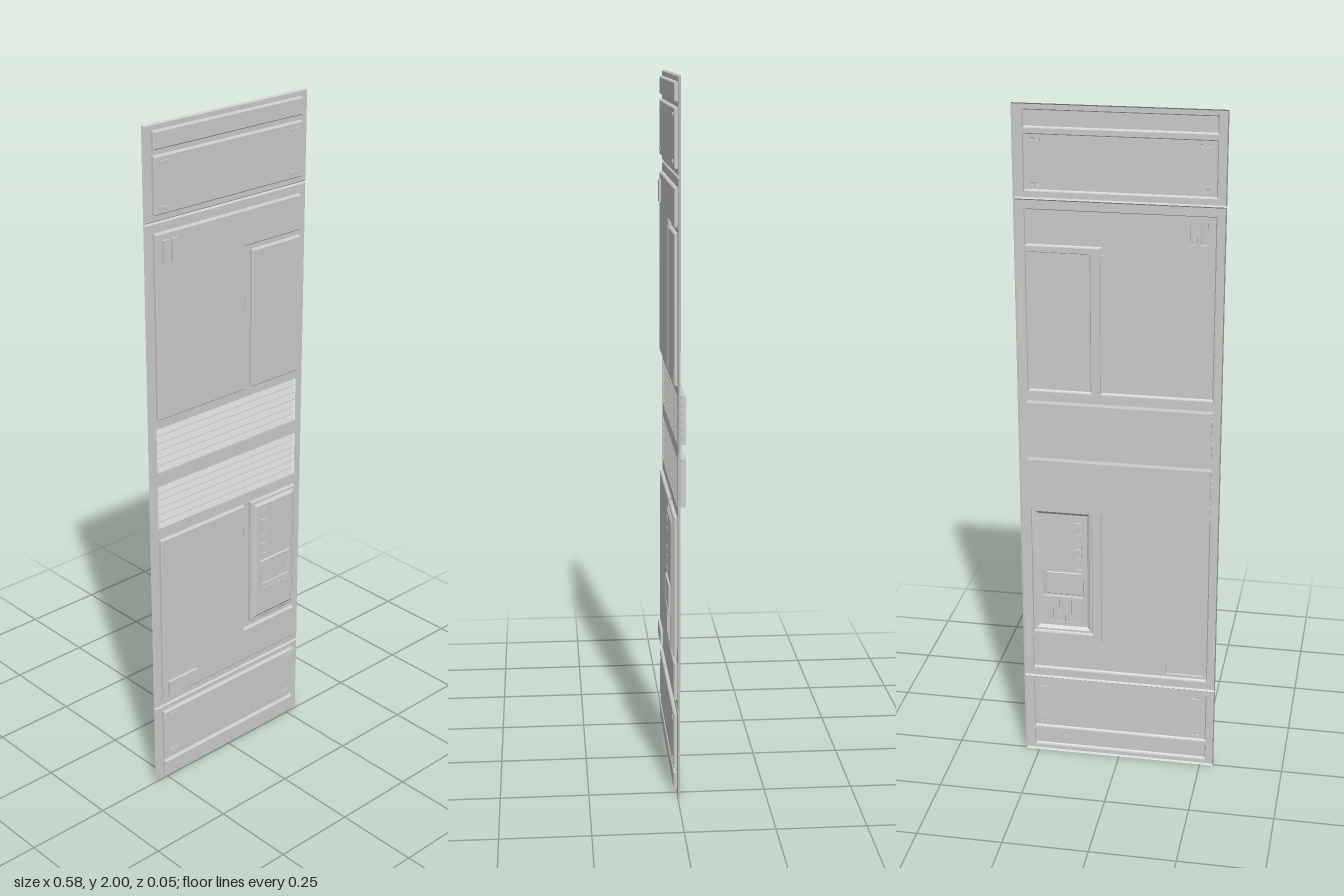
import * as THREE from 'three';

const material = new THREE.MeshStandardMaterial({ color: 0xcccccc, side: THREE.DoubleSide, flatShading: true });

const rect = (x0, y0, x1, y1) => [[x0, y0], [x1, y0], [x1, y1], [x0, y1]];

// Mitred inset of a counter-clockwise outline
function inset(pts, d) {
  return pts.map((p, i) => {
    const a = pts[(i + pts.length - 1) % pts.length], b = pts[(i + 1) % pts.length];
    const u = new THREE.Vector2(p[0] - a[0], p[1] - a[1]).normalize();
    const v = new THREE.Vector2(b[0] - p[0], b[1] - p[1]).normalize();
    const k = d / (1 + u.dot(v));
    return [p[0] - (u.y + v.y) * k, p[1] + (u.x + v.x) * k];
  });
}

// Pressed sheet: walls follow [inset, z] levels, then a cap with holes for its children
function pressing(name, pts, levels, children = []) {
  const pos = [];
  const rings = levels.map(([d, z]) => inset(pts, d).map(([x, y]) => [x, y, z]));
  for (let l = 0; l + 1 < rings.length; l++) {
    for (let i = 0; i < pts.length; i++) {
      const j = (i + 1) % pts.length;
      const [a, b, c, d] = [rings[l][i], rings[l][j], rings[l + 1][j], rings[l + 1][i]];
      pos.push(...a, ...b, ...c, ...a, ...c, ...d);
    }
  }
  const top = rings[rings.length - 1];
  const shape = new THREE.Shape(top.map(([x, y]) => new THREE.Vector2(x, y)));
  for (const child of children) {
    shape.holes.push(new THREE.Path(child.userData.outline.map(([x, y]) => new THREE.Vector2(x, y))));
  }
  const cap = new THREE.ShapeGeometry(shape).toNonIndexed().getAttribute('position');
  for (let i = 0; i < cap.count; i++) pos.push(cap.getX(i), cap.getY(i), top[0][2]);

  const geometry = new THREE.BufferGeometry();
  geometry.setAttribute('position', new THREE.Float32BufferAttribute(pos, 3));
  geometry.computeVertexNormals();
  const group = new THREE.Group();
  group.name = name;
  group.userData.outline = pts;
  const mesh = new THREE.Mesh(geometry, material);
  mesh.name = name + 'Sheet';
  group.add(mesh, ...children);
  return group;
}

const FACE = 0.01;
const raised = [[0, 0], [0.001, 0.007], [0.004, FACE]];
const panel = (name, pts, children) => pressing(name, pts, raised, children);
const bump = (name, x0, y0, x1, y1, z, h, bevel = 0.001) =>
  pressing(name, rect(x0, y0, x1, y1), [[0, z], [bevel, z + h]]);

// Louvre block: sawtooth slats in front, flat housing behind
function louvre(x0, y0, x1, y1) {
  const n = 6, step = (y1 - y0) / n;
  const s = new THREE.Shape();
  s.moveTo(0.023, y0);
  s.lineTo(0.023, y1);
  s.lineTo(0, y1);
  for (let i = 0; i < n; i++) {
    const y = y1 - i * step;
    s.lineTo(0.014, y - 0.001);
    s.lineTo(0.001, y - step + 0.002);
    s.lineTo(0.001, y - step);
  }
  s.closePath();
  const geometry = new THREE.ExtrudeGeometry(s, { depth: x1 - x0, bevelEnabled: false });
  geometry.rotateY(Math.PI / 2).scale(1, 1, 1).translate(x0, 0, 0);
  const mesh = new THREE.Mesh(geometry, material);
  mesh.name = 'louvre';
  mesh.userData.outline = rect(x0, y0, x1, y1);
  return mesh;
}

// Pairs of small studs near the four corners of a panel
function cornerStuds(y0, y1) {
  const studs = [];
  for (const x of [-0.245, -0.229, 0.219, 0.235]) {
    for (const y of [y0 + 0.015, y1 - 0.022]) {
      studs.push(bump('cornerStud', x, y, x + 0.012, y + 0.008, FACE, 0.002));
    }
  }
  return studs;
}

// Raised control unit with buttons, screen and grille bars
function controlUnit() {
  const z = 0.017, parts = [];
  for (const y of [0.77, 0.735, 0.685, 0.655, 0.62]) {
    parts.push(bump('button', 0.115, y, 0.135, y + 0.014, z, 0.002));
  }
  parts.push(pressing('screen', rect(0.11, 0.525, 0.232, 0.612),
    [[0, z], [0.002, z + 0.005], [0.007, z + 0.005], [0.009, z + 0.003]]));
  for (let i = 0; i < 5; i++) {
    const x = 0.128 + i * 0.019;
    parts.push(bump('grilleBar', x, 0.442, x + 0.011, 0.515, z, 0.002));
  }
  return pressing('controlUnit', rect(0.08, 0.41, 0.262, 0.815),
    [[0, 0], [0.001, 0.008], [0.004, 0.01], [0.01, 0.01], [0.019, z]], parts);
}

export function createModel() {
  const model = new THREE.Group();
  model.name = 'wallPanel';
  const L = -0.266, R = 0.264;

  // Backing sheet with edges folded backwards
  const section = (name, y0, y1, children) => model.add(
    pressing(name, rect(-0.292, y0, 0.292, y1), [[0, -0.006], [0.004, 0]], children));

  section('lowerSection', 0, 0.258, [
    panel('kickStrip', rect(L, 0.015, R, 0.065)),
    panel('lowerCover', rect(L, 0.078, R, 0.24), cornerStuds(0.078, 0.24)),
  ]);

  section('middleSection', 0.258, 1.74, [
    panel('lowerDoor', [[L, 0.285], [R, 0.285], [R, 0.393], [0.055, 0.393], [0.055, 0.815], [L, 0.815]], [
      bump('lowerLabel', -0.25, 0.297, -0.14, 0.343, FACE, 0.007),
    ]),
    controlUnit(),
    louvre(L, 0.845, R, 0.98),
    louvre(L, 1.02, R, 1.155),
    panel('upperDoor', [[L, 1.183], [0.055, 1.183], [0.055, 1.607], [R, 1.607], [R, 1.712], [L, 1.712]], [
      bump('upperLabel', -0.242, 1.628, -0.221, 1.692, FACE, 0.006),
      bump('upperLabel', -0.213, 1.628, -0.192, 1.692, FACE, 0.006),
    ]),
    panel('sidePanel', rect(0.08, 1.183, R, 1.592)),
  ]);

  section('upperSection', 1.74, 2, [
    panel('upperCover', rect(L, 1.76, R, 1.918), cornerStuds(1.76, 1.918)),
    panel('topStrip', rect(L, 1.932, R, 1.983)),
  ]);
  return model;
}
